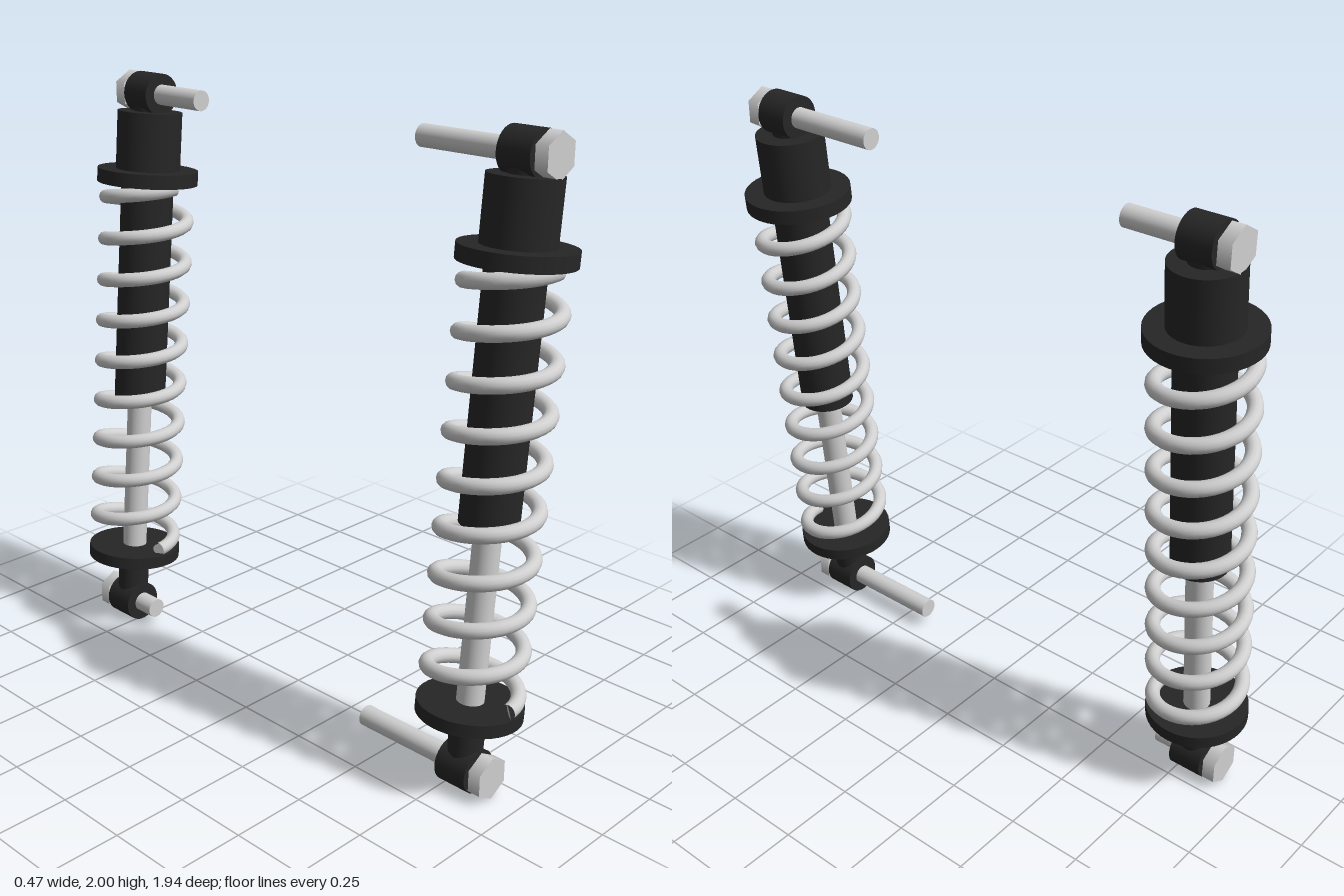
import * as THREE from 'three';

const black = new THREE.MeshStandardMaterial({ color: 0x262626 });
black.name = 'black plastic';
const silver = new THREE.MeshStandardMaterial({ color: 0xd0d0d0 });
silver.name = 'silver metal';

// Eye centres in the x/y plane
const LOW = new THREE.Vector2(-0.086, 0.074);
const HIGH = new THREE.Vector2(0.082, 1.93);
const LENGTH = LOW.distanceTo(HIGH);

function add(parent, name, geometry, material) {
  const mesh = new THREE.Mesh(geometry, material);
  mesh.name = name;
  parent.add(mesh);
  return mesh;
}

// Upright cylinder from y0 to y1
function rod(parent, name, material, r, y0, y1) {
  const geo = new THREE.CylinderGeometry(r, r, y1 - y0, 40);
  return add(parent, name, geo.translate(0, (y0 + y1) / 2, 0), material);
}

// Cylinder along z from z0 to z1
function crossPin(parent, name, material, r, z0, z1, sides = 32) {
  const geo = new THREE.CylinderGeometry(r, r, Math.abs(z1 - z0), sides);
  if (sides === 6) geo.rotateY(Math.PI);
  geo.rotateX(Math.PI / 2).translate(0, 0, (z0 + z1) / 2);
  return add(parent, name, geo, material);
}

class Helix extends THREE.Curve {
  constructor(radius, y0, pitch, turns) {
    super();
    Object.assign(this, { radius, y0, pitch, turns });
  }
  getPoint(t, target = new THREE.Vector3()) {
    const a = t * this.turns * Math.PI * 2;
    return target.set(this.radius * Math.sin(a), this.y0 + t * this.turns * this.pitch, this.radius * Math.cos(a));
  }
}

function makeSpring(parent) {
  const spring = new THREE.Group();
  spring.name = 'spring';
  parent.add(spring);
  const wire = 0.024;
  const path = new Helix(0.142, 0.236, 0.1466, 9);
  add(spring, 'springCoil', new THREE.TubeGeometry(path, 360, wire, 12), silver);
  // Flat cut ends
  for (const [t, sign] of [[0, -1], [1, 1]]) {
    const cap = add(spring, 'springEnd', new THREE.CircleGeometry(wire, 12), silver);
    const p = path.getPoint(t);
    cap.position.copy(p);
    cap.lookAt(p.clone().addScaledVector(path.getTangent(t), sign));
  }
}

// Bolt with hexagonal head on the outer side; reach is how far the shank runs inward
function makeBolt(parent, name, at, out, reach) {
  const bolt = new THREE.Group();
  bolt.name = name;
  bolt.position.set(at.x, at.y, 0);
  parent.add(bolt);
  crossPin(bolt, 'boltHead', silver, 0.07, out * 0.067, out * 0.11, 6);
  crossPin(bolt, 'boltShank', silver, 0.034, out * 0.08, -out * reach);
}

function makeShock(name, z, out, topReach, lowReach) {
  const shock = new THREE.Group();
  shock.name = name;
  shock.position.z = z;

  // Everything along the leaning axis
  const strut = new THREE.Group();
  strut.name = 'strut';
  strut.position.set(LOW.x, LOW.y, 0);
  strut.rotation.z = -Math.atan2(HIGH.x - LOW.x, HIGH.y - LOW.y);
  shock.add(strut);

  crossPin(strut, 'lowerEye', black, 0.07, -0.057, 0.057, 40);
  rod(strut, 'lowerStem', black, 0.055, 0.02, 0.18);
  rod(strut, 'lowerSpringSeat', black, 0.165, 0.176, 0.218);
  rod(strut, 'pistonRod', silver, 0.043, 0.21, 0.82);
  rod(strut, 'damperBody', black, 0.091, 0.787, 1.57);
  rod(strut, 'upperSpringSeat', black, 0.174, 1.558, 1.606);
  rod(strut, 'topCap', black, 0.111, 1.6, 1.803);
  rod(strut, 'upperStem', black, 0.055, 1.79, LENGTH - 0.02);
  crossPin(strut, 'upperEye', black, 0.07, -0.057, 0.057, 40).position.y = LENGTH;
  makeSpring(strut);

  makeBolt(shock, 'upperBolt', HIGH, out, topReach);
  makeBolt(shock, 'lowerBolt', LOW, out, lowReach);
  return shock;
}

export function createModel() {
  const model = new THREE.Group();
  model.name = 'shockAbsorbers';
  model.add(makeShock('frontShock', 0.798, 1, 0.375, 0.402));
  model.add(makeShock('rearShock', -0.795, -1, 0.26, 0.138));
  return model;
}
